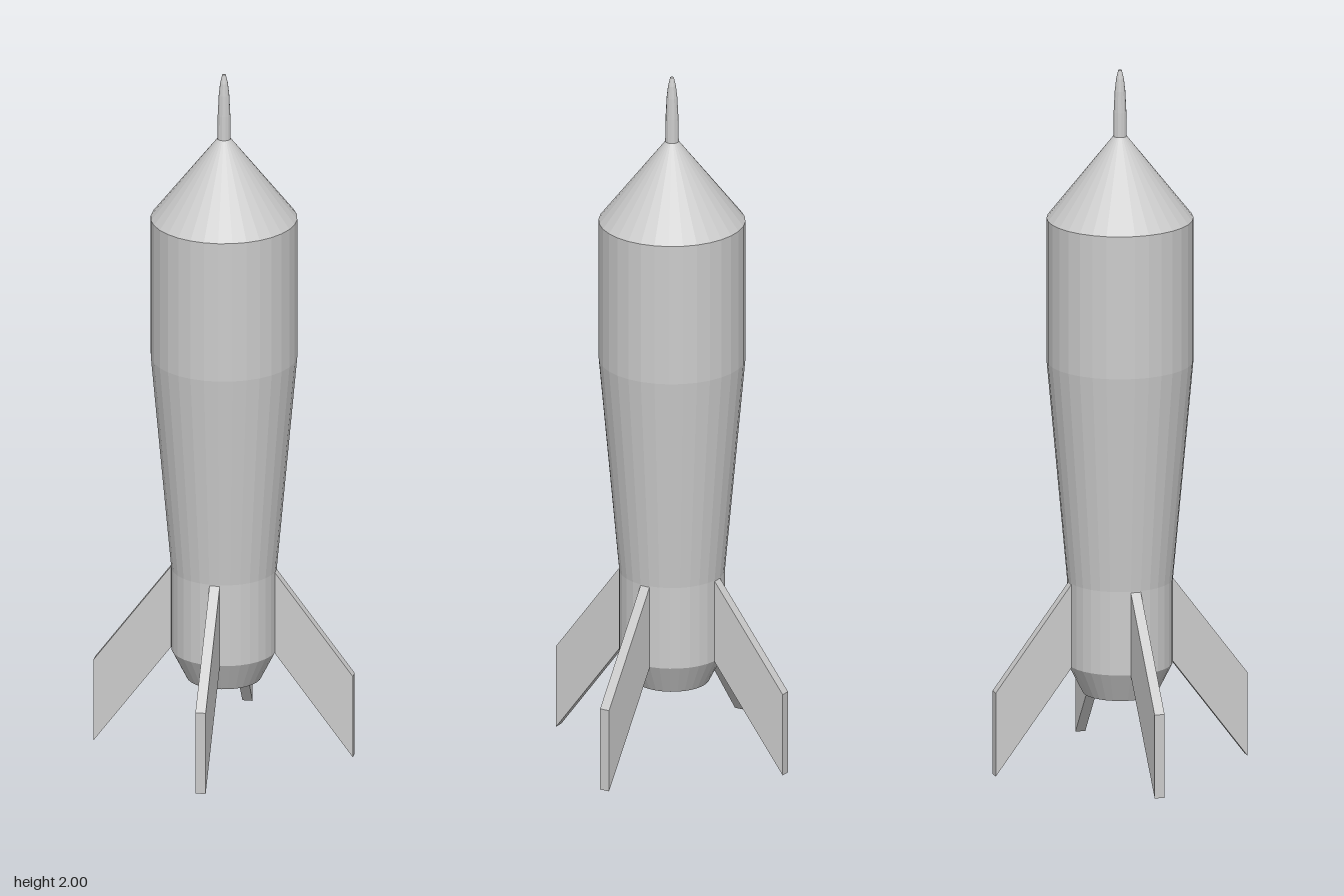
import * as THREE from 'three';

const SIDES = 32;
const material = new THREE.MeshStandardMaterial({ color: 0xcccccc, flatShading: true });

// Faceted solid of revolution from [radius, height] pairs, bottom to top
function turned(name, profile, sides) {
  const points = profile.map(([r, y]) => new THREE.Vector2(r, y));
  const mesh = new THREE.Mesh(new THREE.LatheGeometry(points, sides), material);
  mesh.name = name;
  return mesh;
}

export function createModel() {
  const rocket = new THREE.Group();
  rocket.name = 'rocket';

  // Hull: flat exhaust end, tail, flared body and nose cone
  rocket.add(turned('hull', [
    [0, 0.212], [0.104, 0.212], [0.147, 0.297], [0.147, 0.537],
    [0.204, 1.165], [0.204, 1.575], [0.019, 1.81], [0, 1.81],
  ], SIDES));

  // Rounded spike on the nose
  rocket.add(turned('noseSpike', [
    [0.019, 1.808], [0.018, 1.88], [0.015, 1.94], [0.011, 1.975],
    [0.005, 2], [0, 2],
  ], 12));

  // Four swept fins, each as wide as one facet of the tail and centred on it
  const thickness = 2 * 0.147 * Math.sin(Math.PI / SIDES);
  const outline = new THREE.Shape([
    [0.144, 0.297], [0.366, 0], [0.366, 0.24], [0.144, 0.537],
  ].map(([x, y]) => new THREE.Vector2(x, y)));
  const finGeometry = new THREE.ExtrudeGeometry(outline, { depth: thickness, bevelEnabled: false });
  finGeometry.translate(0, 0, -thickness / 2);
  for (let i = 0; i < 4; i++) {
    const fin = new THREE.Mesh(finGeometry, material);
    fin.name = `fin${i + 1}`;
    fin.rotation.y = i * Math.PI / 2 + Math.PI / SIDES;
    rocket.add(fin);
  }
  return rocket;
}
